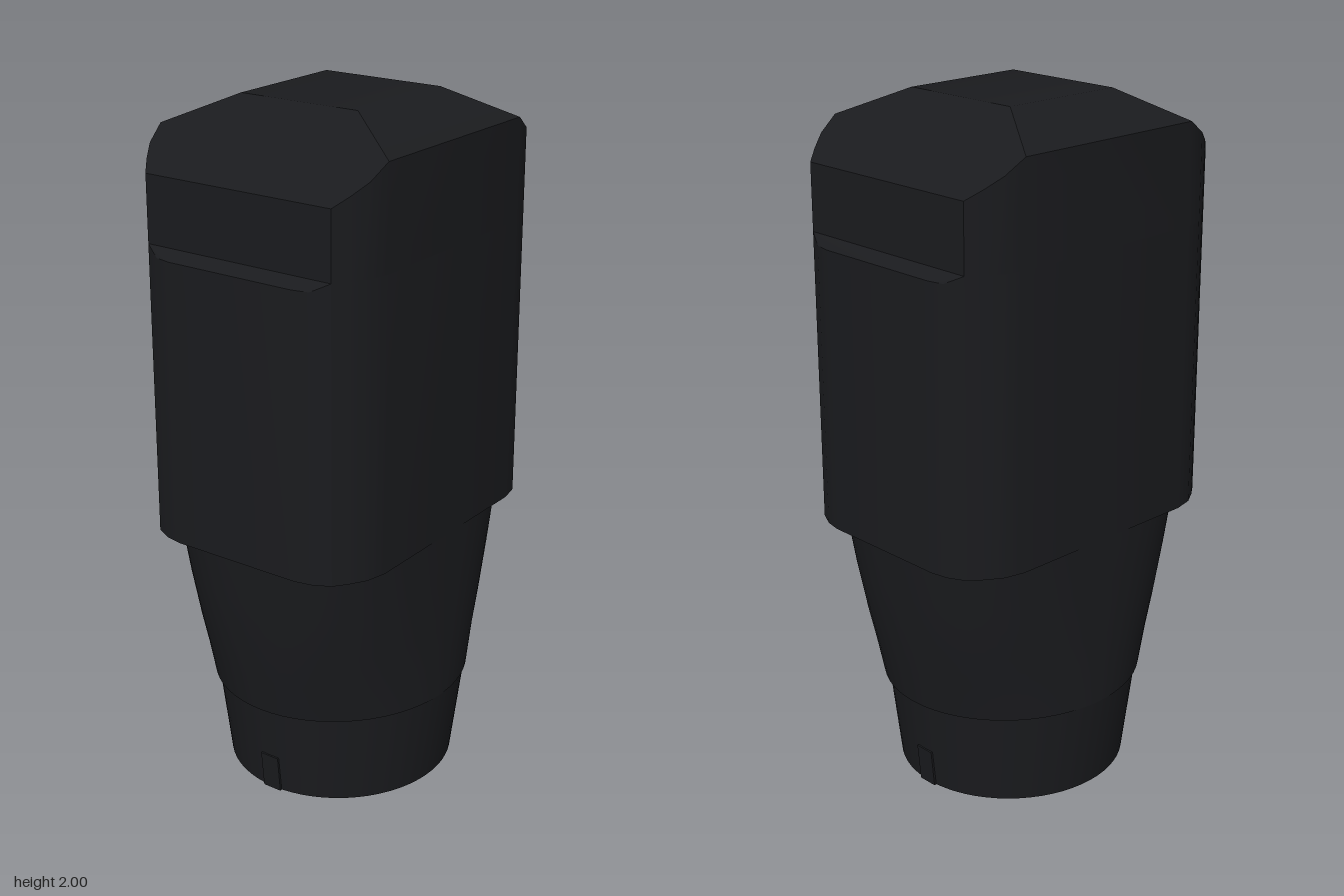
import * as THREE from 'three';
import { ConvexGeometry } from 'three/addons/geometries/ConvexGeometry.js';
import { toCreasedNormals } from 'three/addons/utils/BufferGeometryUtils.js';

// Quarter of the body's plan outline, as [x, z]
const CORNER = [[0.49, 0.2], [0.48, 0.25], [0.455, 0.3], [0.415, 0.33], [0.37, 0.357], [0.31, 0.37]];

// Repeat a list of [x, z] in all four quadrants at height y (number or function)
function mirrored(points, y) {
  const out = [];
  for (const [x, z] of points)
    for (const sx of [1, -1])
      for (const sz of [1, -1])
        out.push(new THREE.Vector3(sx * x, typeof y === 'function' ? y(x, z) : y, sz * z));
  return out;
}

const hull = (points) => toCreasedNormals(new ConvexGeometry(points), 0.45);

// Closed loft through superelliptical rings: [y, halfX, halfZ, exponent], bottom to top
function loft(rings, n = 64) {
  const pos = [], idx = [];
  for (const [y, a, b, e] of rings) {
    for (let i = 0; i < n; i++) {
      const t = (i / n) * Math.PI * 2, c = Math.cos(t), s = Math.sin(t);
      pos.push(a * Math.sign(c) * Math.abs(c) ** (2 / e), y, b * Math.sign(s) * Math.abs(s) ** (2 / e));
    }
  }
  for (let r = 0; r < rings.length - 1; r++) {
    for (let i = 0; i < n; i++) {
      const p = r * n + i, q = r * n + (i + 1) % n;
      idx.push(p, p + n, q, q, p + n, q + n);
    }
  }
  // End caps
  const bottom = pos.length / 3, last = (rings.length - 1) * n;
  pos.push(0, rings[0][0], 0, 0, rings[rings.length - 1][0], 0);
  for (let i = 0; i < n; i++) {
    const j = (i + 1) % n;
    idx.push(bottom, i, j, bottom + 1, last + j, last + i);
  }
  const geo = new THREE.BufferGeometry();
  geo.setAttribute('position', new THREE.Float32BufferAttribute(pos, 3));
  geo.setIndex(idx);
  return toCreasedNormals(geo, 0.5);
}

export function createModel() {
  const group = new THREE.Group();
  const black = new THREE.MeshStandardMaterial({ color: 0x1a1b1e });
  const add = (name, geometry) => {
    const mesh = new THREE.Mesh(geometry, black);
    mesh.name = name;
    group.add(mesh);
    return mesh;
  };

  // Wide middle body with a small sloping shoulder on each side
  const headOutline = CORNER.filter(([x]) => x <= 0.455);
  add('body', hull([...mirrored(CORNER, 0.795), ...mirrored(CORNER, 1.605), ...mirrored(headOutline, 1.63)]));

  // Narrower head with a roof sloping on all four sides
  const roof = (x, z) => Math.min(2 - 0.18 * (x - 0.19) / 0.265, 2 - 0.08 * (z - 0.19) / 0.18);
  add('head', hull([
    ...mirrored(headOutline, 1.63),
    ...mirrored(headOutline, roof),
    ...mirrored([[0.19, 0.19]], 2),
  ]));

  // Neck, blending from a rounded rectangle to nearly a circle
  add('neck', loft([
    [0.285, 0.392, 0.369, 2],
    [0.4, 0.413, 0.369, 2.15],
    [0.5, 0.43, 0.369, 2.35],
    [0.65, 0.452, 0.369, 2.65],
    [0.8, 0.468, 0.369, 3],
  ]));

  // Tapered round collar at the base
  add('collar', loft([[0, 0.34, 0.33, 2], [0.29, 0.372, 0.368, 2]]));

  // Small locating tab on each side of the collar
  for (const side of [1, -1]) {
    const tab = add(side > 0 ? 'leftTab' : 'rightTab', new THREE.BoxGeometry(0.05, 0.115, 0.06));
    tab.position.set(side * 0.326, 0.0585, 0);
    tab.rotation.z = -side * 0.1;
  }
  return group;
}
